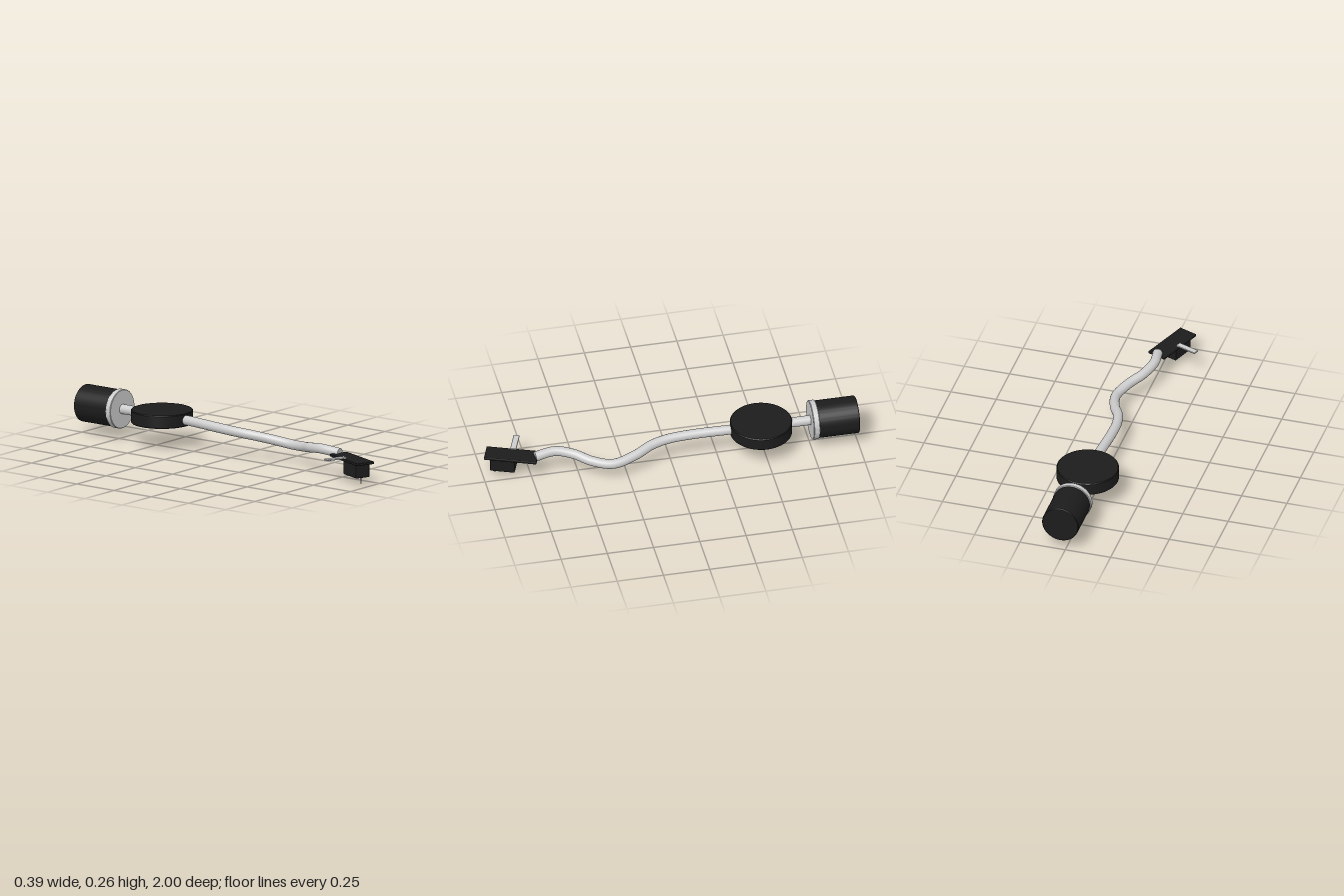
import * as THREE from 'three';
import { toCreasedNormals } from 'three/addons/utils/BufferGeometryUtils.js';
import { RoundedBoxGeometry } from 'three/addons/geometries/RoundedBoxGeometry.js';

export function createModel() {
  const model = new THREE.Group();
  model.name = 'tonearm';

  const black = new THREE.MeshStandardMaterial({ color: 0x1c1c1c });
  black.name = 'matte black';
  const silver = new THREE.MeshStandardMaterial({ color: 0xcccccc });
  silver.name = 'satin silver';

  function add(name, geometry, material, x, y, z, parent = model) {
    const mesh = new THREE.Mesh(geometry, material);
    mesh.name = name;
    mesh.position.set(x, y, z);
    parent.add(mesh);
    return mesh;
  }

  // Solid disc around y with a small bevel on both rims
  function bevelledDisc(radius, height, bevel) {
    const h = height / 2;
    const profile = [
      [0, -h], [radius - bevel, -h], [radius, -h + bevel],
      [radius, h - bevel], [radius - bevel, h], [0, h],
    ].map(([r, y]) => new THREE.Vector2(r, y));
    return toCreasedNormals(new THREE.LatheGeometry(profile, 72), 0.5);
  }

  const axisX = 0.028, axisY = 0.155;

  // Pivot housing
  add('pivotHousing', bevelledDisc(0.165, 0.07, 0.004), black, axisX, axisY, -0.485);

  // Counterweight, its front collar and the rear shaft, all along z
  add('counterweight', bevelledDisc(0.1, 0.22, 0.003), black, axisX, axisY, -0.89).rotation.x = Math.PI / 2;
  add('counterweightCollar', bevelledDisc(0.105, 0.033, 0.003), silver, axisX, axisY, -0.767).rotation.x = Math.PI / 2;
  add('rearShaft', new THREE.CylinderGeometry(0.026, 0.026, 0.3, 32), silver, axisX, axisY, -0.63).rotation.x = Math.PI / 2;

  // S-shaped arm tube
  const path = new THREE.CatmullRomCurve3([
    [0.028, 0.155, -0.485], [0.022, 0.155, -0.3], [0.012, 0.148, -0.1],
    [0.016, 0.141, 0.02], [0.038, 0.132, 0.11], [0.081, 0.115, 0.2],
    [0.112, 0.097, 0.33], [0.076, 0.107, 0.44], [0.02, 0.125, 0.525],
    [-0.01, 0.137, 0.62], [0.002, 0.127, 0.73],
  ].map((p) => new THREE.Vector3(...p)), false, 'centripetal');
  add('armTube', new THREE.TubeGeometry(path, 160, 0.026, 24), silver, 0, 0, 0);

  // Flat cap closing the front end of the tube
  const cap = add('armTubeEnd', new THREE.CircleGeometry(0.026, 24), silver, 0.002, 0.127, 0.73);
  cap.lookAt(path.getPoint(1).add(path.getTangent(1)));

  // Headshell assembly, turned to the offset angle
  const head = new THREE.Group();
  head.name = 'headshell';
  head.position.set(-0.044, 0, 0.848);
  head.rotation.y = -0.362;
  model.add(head);

  add('headshellPlate', new RoundedBoxGeometry(0.106, 0.014, 0.281, 3, 0.004), black, 0, 0.119, 0, head);
  add('cartridge', new RoundedBoxGeometry(0.083, 0.075, 0.132, 3, 0.005), black, 0.002, 0.0745, 0.043, head);
  add('stylus', new THREE.CylinderGeometry(0.0055, 0.0015, 0.04, 16), silver, 0.002, 0.02, 0.088, head);
  add('fingerLift', new RoundedBoxGeometry(0.122, 0.009, 0.032, 2, 0.003), silver, -0.1, 0.1315, -0.003, head);

  return model;
}
